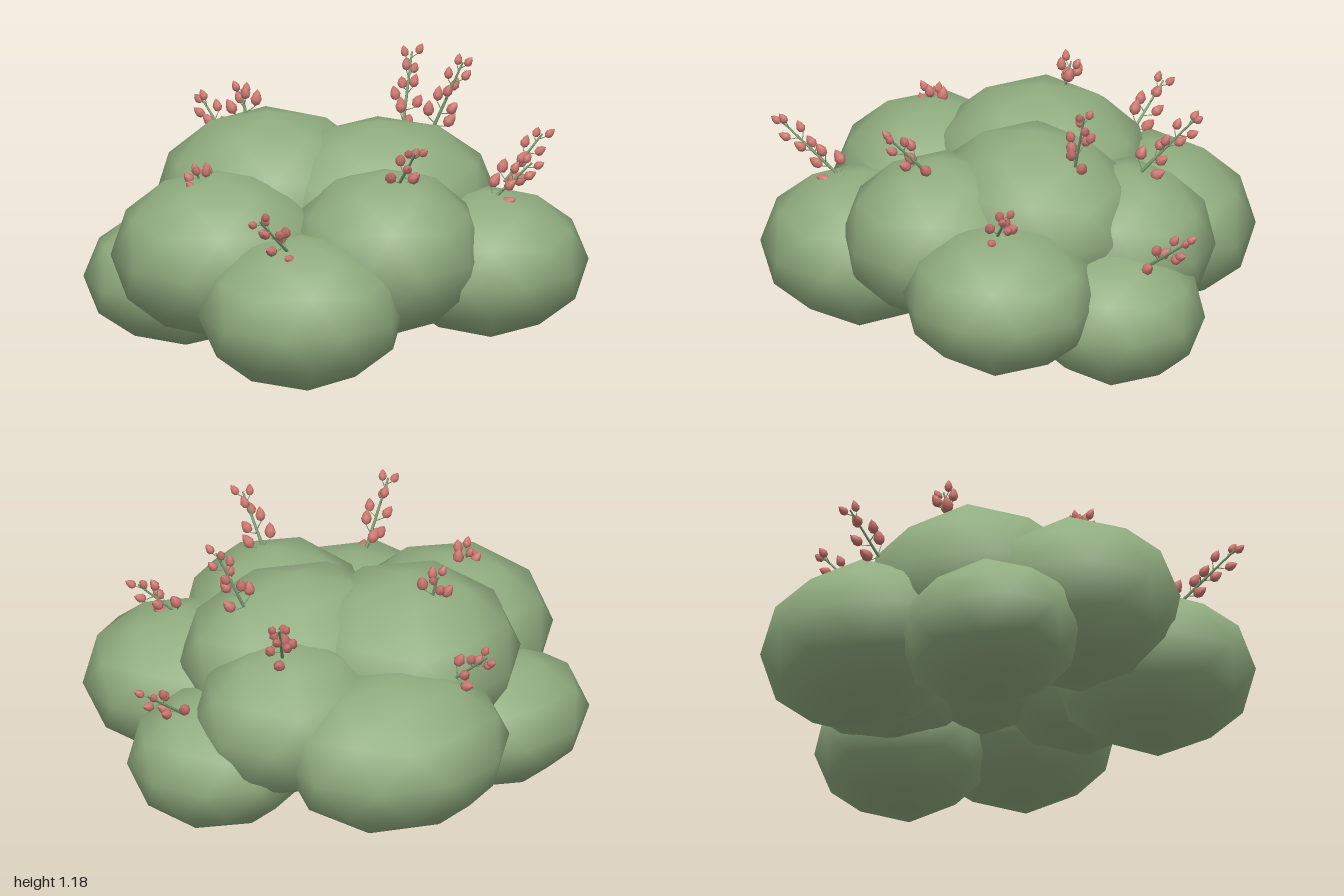
import * as THREE from 'three';
import { mergeVertices } from 'three/addons/utils/BufferGeometryUtils.js';

// Smooth, coarse ball standing on a corner point, fitted to its radii
function clumpGeometry(radii, yaw) {
  const raw = new THREE.IcosahedronGeometry(1, 1);
  raw.deleteAttribute('uv');
  raw.deleteAttribute('normal');
  const g = mergeVertices(raw, 1e-4);
  g.rotateZ(-Math.atan2(2, 1 + Math.sqrt(5)));
  g.rotateY(yaw);
  g.computeBoundingBox();
  const half = g.boundingBox.max;
  g.scale(radii[0] / half.x, radii[1] / half.y, radii[2] / half.z);
  g.computeVertexNormals();
  return g;
}

export function createModel() {
  const group = new THREE.Group();
  group.name = 'floweringBush';
  const leafGreen = new THREE.MeshStandardMaterial({ color: 0x91ad80 });
  leafGreen.name = 'leaf green';
  const stemGreen = new THREE.MeshStandardMaterial({ color: 0x789c70 });
  stemGreen.name = 'stem green';
  const budPink = new THREE.MeshStandardMaterial({ color: 0xcb766f });
  budPink.name = 'bud pink';

  // Leafy clumps: name, centre, radii, yaw
  const clumps = [
    ['frontRightClump', [-0.385, 0.365, 0.56], [0.415, 0.315, 0.41], 0.09],
    ['rightClump', [-0.58, 0.5, 0.12], [0.42, 0.34, 0.42], 0],
    ['frontClump', [0.035, 0.53, 0.42], [0.385, 0.34, 0.4], 0.03],
    ['frontLeftClump', [0.49, 0.42, 0.375], [0.395, 0.3, 0.395], 0.03],
    ['leftClump', [0.57, 0.295, -0.11], [0.36, 0.285, 0.36], 0.03],
    ['backLeftClump', [0.33, 0.5, -0.27], [0.38, 0.32, 0.365], 0.03],
    ['topLeftClump', [0.14, 0.6, 0.04], [0.48, 0.355, 0.41], 0.03],
    ['topRightClump', [-0.25, 0.6, -0.18], [0.455, 0.37, 0.455], 0.03],
    ['backClump', [-0.01, 0.41, -0.57], [0.47, 0.33, 0.4], 0.09],
    ['backRightClump', [-0.575, 0.29, -0.27], [0.405, 0.285, 0.36], 0],
  ];
  clumps.forEach(([name, centre, radii, yaw]) => {
    const mesh = new THREE.Mesh(clumpGeometry(radii, yaw), leafGreen);
    mesh.name = name;
    mesh.position.set(...centre);
    group.add(mesh);
  });

  // Pointed bud standing on its base, and a unit-height stem
  const budGeo = new THREE.LatheGeometry(
    [[0, 0], [0.016, 0.01], [0.022, 0.026], [0.014, 0.047], [0, 0.064]].map(p => new THREE.Vector2(...p)), 8);
  const stemGeo = new THREE.CylinderGeometry(0.004, 0.007, 1, 6);
  stemGeo.translate(0, 0.5, 0);
  const up = new THREE.Vector3(0, 1, 0);

  // A sprig: stem with pairs of side buds that shrink toward the tip
  function addSprig(base, tip, turn) {
    const from = new THREE.Vector3(...base);
    const dir = new THREE.Vector3(...tip).sub(from);
    const length = dir.length();
    const sprig = new THREE.Group();
    sprig.name = 'flowerSprig';
    sprig.position.copy(from);
    sprig.quaternion.setFromUnitVectors(up, dir.normalize());

    const stem = new THREE.Mesh(stemGeo, stemGreen);
    stem.name = 'stem';
    stem.scale.y = length - 0.03;
    sprig.add(stem);

    const levels = Math.max(3, Math.round(length / 0.07));
    for (let i = 0; i < levels; i++) {
      const t = i / (levels - 1);
      for (let side = 0; side < 2; side++) {
        const a = turn + i * 1.1 + side * Math.PI;
        const out = new THREE.Vector3(Math.cos(a), 0, Math.sin(a));
        const reach = 0.043 - 0.021 * t;
        const y = 0.01 + t * (length - 0.065) + side * 0.018;
        const bud = new THREE.Mesh(budGeo, budPink);
        bud.name = 'bud';
        bud.position.copy(out).multiplyScalar(reach).setY(y);
        bud.quaternion.setFromUnitVectors(up, out.clone().multiplyScalar(0.35).add(up).normalize());
        bud.scale.setScalar(1.1 - 0.3 * t);
        sprig.add(bud);

        // Short stalk joining the bud to the stem
        const foot = new THREE.Vector3(0, Math.max(0, y - 0.02), 0);
        const span = bud.position.clone().sub(foot);
        const stalk = new THREE.Mesh(stemGeo, stemGreen);
        stalk.name = 'budStalk';
        stalk.position.copy(foot);
        stalk.scale.set(0.4, span.length(), 0.4);
        stalk.quaternion.setFromUnitVectors(up, span.normalize());
        sprig.add(stalk);
      }
    }
    group.add(sprig);
  }

  const sprigs = [
    [[0.06, 0.84, 0.5], [0.07, 1.04, 0.69]],
    [[0.5, 0.69, 0.4], [0.68, 0.86, 0.44]],
    [[-0.46, 0.64, 0.62], [-0.67, 0.87, 0.81]],
    [[-0.64, 0.77, 0.1], [-0.68, 0.88, 0.1]],
    [[-0.3, 0.92, -0.32], [-0.31, 1.05, -0.36]],
    [[-0.26, 0.7, -0.62], [-0.33, 0.87, -0.8]],
    [[0.38, 0.8, -0.32], [0.5, 1.06, -0.53]],
    [[0.4, 0.89, -0.01], [0.53, 1.18, 0.01]],
    [[0.76, 0.56, -0.16], [0.975, 0.735, -0.25]],
  ];
  sprigs.forEach(([base, tip], i) => addSprig(base, tip, i * 0.9));
  return group;
}
